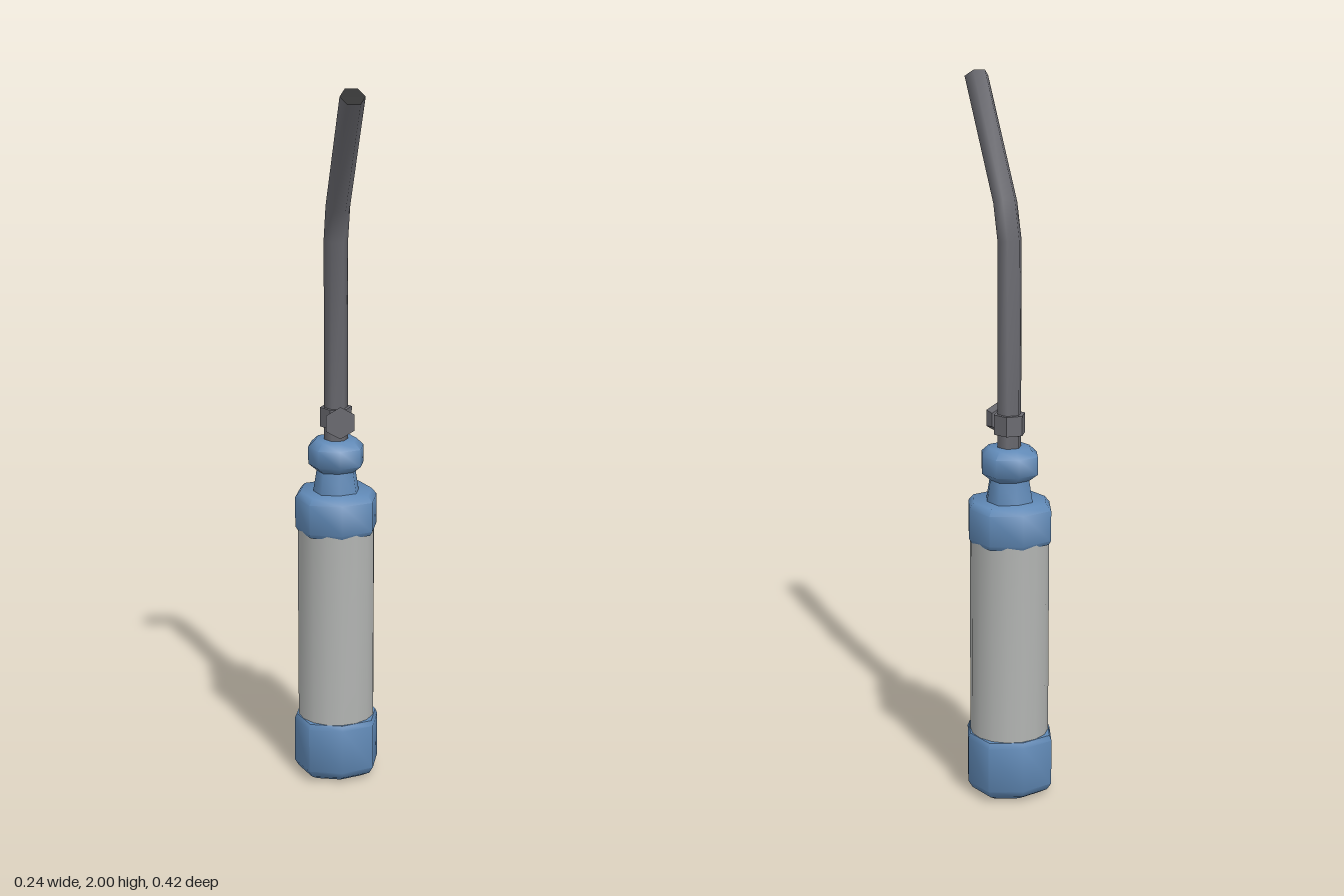
import * as THREE from 'three';
import { toCreasedNormals } from 'three/addons/utils/BufferGeometryUtils.js';

const AXIS_Z = -0.09;

function material(name, color) {
  const m = new THREE.MeshStandardMaterial({ color });
  m.name = name;
  return m;
}

// Eight-sided turned part, its diagonal corners pushed slightly outwards
function turned(profile) {
  const geo = new THREE.LatheGeometry(profile.map(([r, y]) => new THREE.Vector2(r, y)), 8);
  const p = geo.attributes.position;
  for (let i = 0; i < p.count; i++) {
    const x = p.getX(i), z = p.getZ(i);
    const k = 1 + 0.08 * Math.abs(Math.sin(2 * Math.atan2(x, z)));
    p.setXYZ(i, x * k, p.getY(i), z * k);
  }
  return toCreasedNormals(geo, 1.0);
}

// Hexagonal tube: each ring of a cylinder is moved to a tilted station [y, z, tilt]
function bentTube(radius, stations) {
  const last = stations.length - 1;
  const geo = new THREE.CylinderGeometry(radius, radius, 1, 6, last, true, Math.PI / 2);
  const p = geo.attributes.position;
  for (let i = 0; i < p.count; i++) {
    const [y, z, tilt] = stations[Math.round((p.getY(i) + 0.5) * last)];
    const offset = p.getZ(i);
    p.setXYZ(i, p.getX(i), y - Math.sin(tilt) * offset, z + Math.cos(tilt) * offset);
  }
  return toCreasedNormals(geo, 1.2);
}

export function createModel() {
  const model = new THREE.Group();
  model.name = 'handTorch';
  const blue = material('blue', 0x6089b6);
  const lightGrey = material('lightGrey', 0xb2b4b2);
  const metal = material('darkMetal', 0x69696f);
  const black = material('nozzleBlack', 0x1a1a1a);

  function add(name, geo, mat, y = 0, z = AXIS_Z) {
    const mesh = new THREE.Mesh(geo, mat);
    mesh.name = name;
    mesh.position.set(0, y, z);
    model.add(mesh);
    return mesh;
  }

  // Canister with its end caps
  add('body', toCreasedNormals(new THREE.CylinderGeometry(0.11, 0.11, 0.62, 16), 0.8), lightGrey, 0.46);
  add('baseCap', turned([[0, 0], [0.085, 0], [0.11, 0.015], [0.122, 0.035], [0.122, 0.165], [0.116, 0.18], [0, 0.18]]), blue);
  add('collar', turned([[0, 0.74], [0.11, 0.74], [0.117, 0.752], [0.117, 0.838], [0.103, 0.855], [0, 0.855]]), blue);

  // Neck and rounded knob
  add('neck', turned([[0.066, 0.85], [0.054, 0.925]]), blue);
  add('neckKnob', turned([[0, 0.915], [0.055, 0.915], [0.079, 0.935], [0.079, 0.985], [0.058, 1.005], [0, 1.005]]), blue);

  // Bent pipe with a dark open end
  add('pipe', bentTube(0.034, [
    [0.99, -0.088, 0],
    [1.571, -0.088, 0.167],
    [1.669, -0.053, 0.49],
    [1.985, 0.188, 0.648],
  ]), metal, 0, 0);
  const mouth = add('nozzleMouth', new THREE.CircleGeometry(0.034, 6), black, 1.985, 0.188);
  mouth.rotation.x = 0.648 - Math.PI / 2;

  // Valve: nut around the pipe, stem and hexagonal knob
  const nut = new THREE.CylinderGeometry(0.045, 0.045, 0.055, 6, 1, false, Math.PI / 2);
  add('valveNut', toCreasedNormals(nut, 0.5), metal, 1.07);
  const stem = new THREE.CylinderGeometry(0.02, 0.02, 0.04, 6).rotateX(Math.PI / 2);
  add('valveStem', stem, metal, 1.07, -0.045);
  const knob = new THREE.CylinderGeometry(0.046, 0.037, 0.025, 6).rotateX(Math.PI / 2);
  add('valveKnob', toCreasedNormals(knob, 0.5), metal, 1.07, -0.023);

  return model;
}
